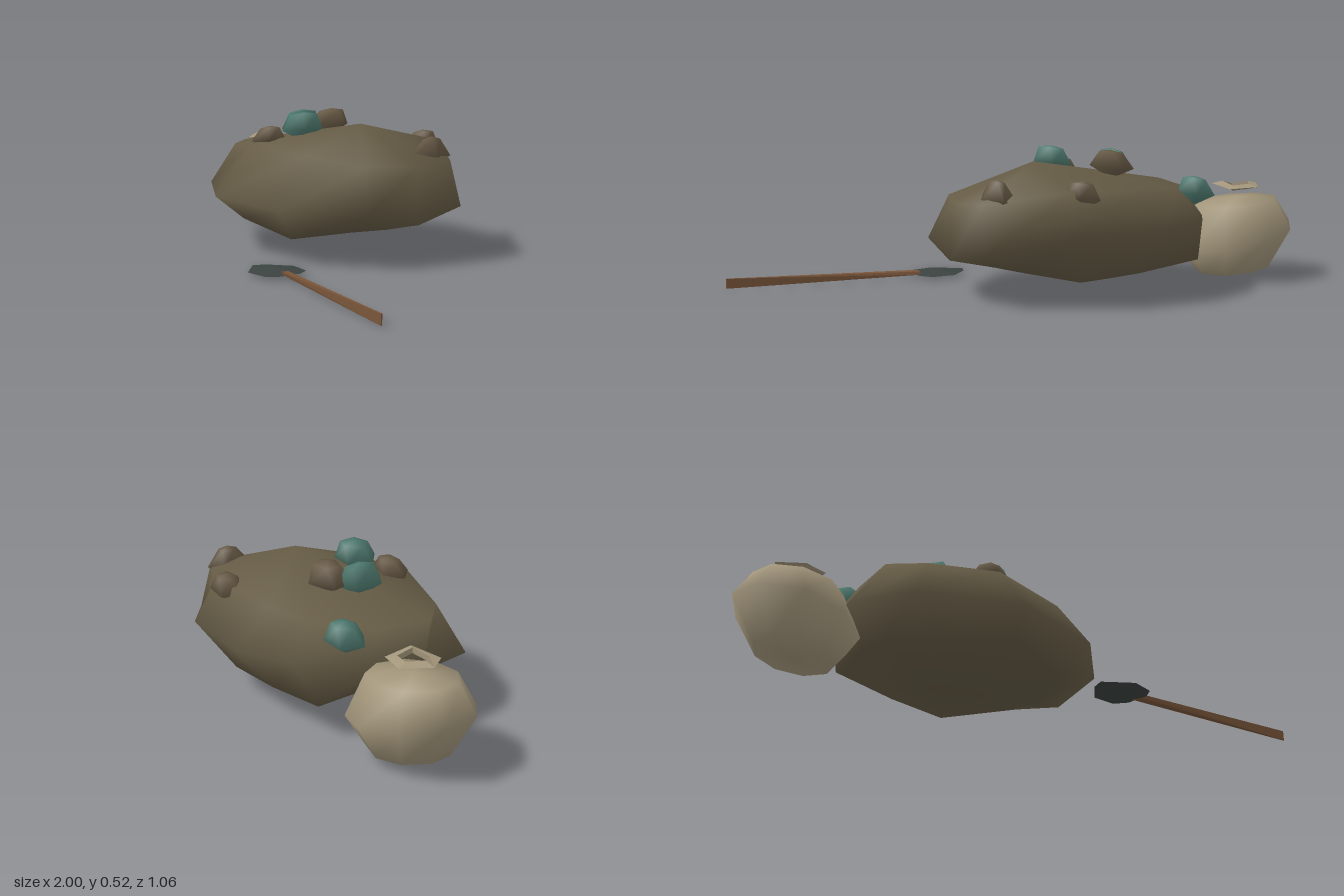
import * as THREE from 'three';

const mat = (name, color) => {
  const m = new THREE.MeshStandardMaterial({ color });
  m.name = name;
  return m;
};

// closed skin over rings of [x, y, z] points, listed bottom to top, capped by two points
function loft(rings, bottom, top, flat = false) {
  const n = rings[0].length;
  const pos = [...rings.flat(), bottom, top].flat();
  const lo = rings.length * n, hi = lo + 1, last = (rings.length - 1) * n;
  const idx = [];
  for (let j = 0; j < n; j++) {
    const k = (j + 1) % n;
    idx.push(lo, j, k, hi, last + k, last + j);
    for (let i = 0; i < rings.length - 1; i++) {
      const a = i * n + j, b = i * n + k, c = a + n, d = b + n;
      idx.push(a, c, b, b, c, d);
    }
  }
  let g = new THREE.BufferGeometry();
  g.setAttribute('position', new THREE.Float32BufferAttribute(pos, 3));
  g.setIndex(idx);
  if (flat) g = g.toNonIndexed();
  g.computeVertexNormals();
  return g;
}

// elliptical ring, leaning in height along x
function oval(cx, y, cz, rx, rz, lean, n = 9, phase = 0.1) {
  return Array.from({ length: n }, (_, j) => {
    const a = (j / n) * Math.PI * 2 - Math.PI / 2 + phase;
    const dx = Math.cos(a) * rx;
    return [cx + dx, y + lean * dx, cz + Math.sin(a) * rz];
  });
}

// blunt five-sided stone: wide low belt, narrower crown pushed off centre
function stone([w, h, d], phase, crown) {
  return loft([
    oval(0, -0.12 * h, 0, 0.54 * w, 0.54 * d, 0.1, 5, phase),
    oval(0.05 * w, 0.4 * h, -0.04 * d, crown * w, crown * d, 0.12, 5, phase + 0.25),
  ], [0, -0.5 * h, 0], [0.05 * w, 0.48 * h, -0.04 * d]);
}

export function createModel() {
  const group = new THREE.Group();
  const earth = mat('earth brown', 0x655b45);
  const rockMat = mat('rock brown', 0x685a46);
  const ore = mat('teal ore', 0x4f7b70);
  const cloth = mat('sack cloth', 0xa3967b);
  const wood = mat('handle wood', 0x7a563a);
  const iron = mat('dark iron', 0x3b4340);
  const add = (name, geo, material) => {
    const m = new THREE.Mesh(geo, material);
    m.name = name;
    group.add(m);
    return m;
  };

  // mound: lower, widest and upper outlines, from the back clockwise
  const lower = [[-0.2, 0.09, -0.39], [0.04, 0.08, -0.38], [0.2, 0.108, -0.22], [0.22, 0.106, -0.1],
    [0.2, 0.108, 0.05], [0.06, 0.08, 0.21], [-0.2, 0.125, 0.25], [-0.42, 0.11, 0.08],
    [-0.49, 0.14, -0.1], [-0.5, 0.14, -0.22], [-0.47, 0.115, -0.39]];
  const widest = [[-0.2, 0.26, -0.535], [0.12, 0.26, -0.5], [0.385, 0.195, -0.31], [0.405, 0.15, -0.1],
    [0.38, 0.2, 0.11], [0.13, 0.2, 0.31], [-0.24, 0.21, 0.345], [-0.585, 0.21, 0.16],
    [-0.655, 0.23, -0.1], [-0.6, 0.25, -0.25], [-0.43, 0.27, -0.46]];
  const upper = [[-0.2, 0.395, -0.4], [0.1, 0.405, -0.42], [0.37, 0.365, -0.27], [0.395, 0.355, -0.1],
    [0.32, 0.36, 0.06], [0.1, 0.385, 0.18], [-0.22, 0.4, 0.2], [-0.48, 0.37, 0.11],
    [-0.58, 0.37, 0.0], [-0.54, 0.365, -0.19], [-0.38, 0.38, -0.36]];
  add('mound', loft([lower, widest, upper], [-0.28, 0.01, -0.08], [0.06, 0.48, -0.1]), earth);

  // loose rocks and ore chunks: centre, size, turn, crown width
  const rocks = [
    [[-0.235, 0.46, -0.165], [0.16, 0.11, 0.16], 0.1, 0.3],
    [[-0.21, 0.42, 0.13], [0.14, 0.09, 0.12], 0.9, 0.3],
    [[0.045, 0.39, -0.4], [0.13, 0.1, 0.12], 0.75, 0.32],
    [[0.29, 0.385, -0.235], [0.11, 0.125, 0.17], 0.4, 0.22],
  ];
  rocks.forEach(([c, s, t, k]) => add('rock', stone(s, t, k), rockMat).position.set(...c));
  const chunks = [
    [[-0.515, 0.36, -0.31], [0.135, 0.11, 0.14], 0.6, 0.32],
    [[-0.3, 0.45, -0.075], [0.09, 0.12, 0.18], 0.3, 0.34],
    [[-0.115, 0.465, 0.045], [0.13, 0.11, 0.155], 0.65, 0.36],
  ];
  chunks.forEach(([c, s, t, k]) => add('oreChunk', stone(s, t, k), ore).position.set(...c));

  // sack, leaning against the mound
  add('sack', loft([
    oval(-0.765, 0.035, -0.24, 0.15, 0.13, -0.1),
    oval(-0.77, 0.165, -0.24, 0.235, 0.203, -0.2),
    oval(-0.77, 0.295, -0.24, 0.17, 0.14, -0.08),
  ], [-0.77, 0.025, -0.24], [-0.78, 0.31, -0.24]), cloth);

  // crumpled open mouth of the sack, its rim rising and falling
  const mouth = new THREE.TorusGeometry(0.07, 0.028, 3, 5).rotateX(Math.PI / 2).rotateY(Math.PI).scale(1, 0.4, 0.95).toNonIndexed();
  const p = mouth.attributes.position;
  for (let i = 0; i < p.count; i++) {
    p.setY(i, p.getY(i) + 0.008 * Math.sin(2 * Math.atan2(p.getZ(i), p.getX(i)) + 0.6));
  }
  mouth.computeVertexNormals();
  add('sackMouth', mouth, cloth).position.set(-0.775, 0.352, -0.24);

  // shovel handle, broad at the blade and narrowing to an upright edge
  add('shovelHandle', loft([
    [[0.28, 0.012, 0.395], [0.28, 0.024, 0.398], [0.28, 0.022, 0.37], [0.28, 0.01, 0.365]],
    [[1, 0.005, 0.529], [1, 0.042, 0.529], [1, 0.042, 0.524], [1, 0.005, 0.524]],
  ], [0.28, 0.017, 0.382], [1, 0.024, 0.526], true), wood);

  // shovel blade, a shallow peaked plate
  const rim = [[0.18, 0.28], [0.27, 0.29], [0.3, 0.335], [0.3, 0.42], [0.27, 0.46], [0.18, 0.47], [0.085, 0.39], [0.105, 0.345]];
  add('shovelBlade', loft([rim.map(([x, z]) => [x, 0.012, z])], [0.2, 0.002, 0.38], [0.2, 0.024, 0.37], true), iron);
  return group;
}
